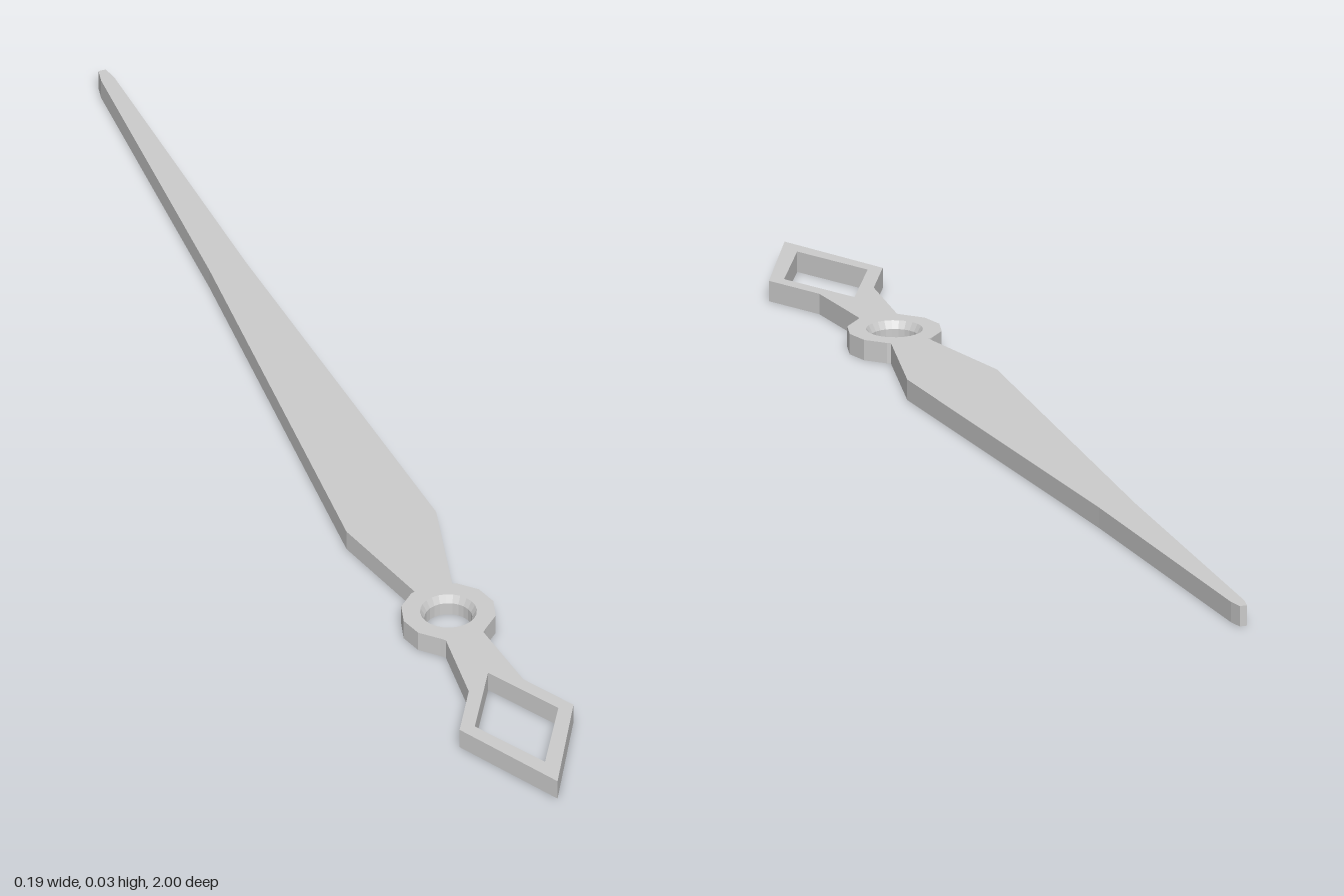
import * as THREE from 'three';

const HEIGHT = 0.033;
const HUB_Z = 0.521;
const HUB_R = 0.074;
const BORE_R = 0.044;

// Point on a circle round the hub, angle measured from the blade direction
const hubPoint = (r, degrees) => {
  const a = THREE.MathUtils.degToRad(degrees);
  return [r * Math.sin(a), HUB_Z - r * Math.cos(a)];
};

const toVectors = (points) => points.map(([x, z]) => new THREE.Vector2(x, z));

export function createModel() {
  const group = new THREE.Group();
  group.name = 'clockHand';
  const material = new THREE.MeshStandardMaterial({ color: 0xcccccc, flatShading: true });

  // Half outline: blade, twelve-sided hub, neck, diamond tail
  const half = [
    [0.006, -1], [0.011, -0.975], [0.03, -0.45], [0.074, 0.27],
    [0.031, 0.455],
    ...[30, 60, 90, 120, 150].map((d) => hubPoint(HUB_R, d)),
    [0.031, 0.592], [0.045, 0.73], [0.094, 0.82],
  ];
  const mirrored = half.map(([x, z]) => [-x, z]).reverse();
  const outline = new THREE.Shape(toVectors([...half, [0, 1], ...mirrored]));

  // Openings: round bore and diamond window
  const bore = Array.from({ length: 24 }, (_, i) => hubPoint(BORE_R, i * 15));
  const diamond = [[0, 0.695], [0.069, 0.82], [0, 0.945], [-0.069, 0.82]];
  outline.holes.push(new THREE.Path(toVectors(bore)), new THREE.Path(toVectors(diamond)));

  const bodyGeometry = new THREE.ExtrudeGeometry(outline, { depth: HEIGHT, bevelEnabled: false });
  bodyGeometry.rotateX(Math.PI / 2).translate(0, HEIGHT, 0);
  const body = new THREE.Mesh(bodyGeometry, material);
  body.name = 'handBody';
  group.add(body);

  // Countersunk lining of the bore
  const lining = new THREE.LatheGeometry(toVectors([
    [BORE_R, HEIGHT], [0.037, 0.021], [0.037, 0], [BORE_R, 0],
  ]), 24);
  const rim = new THREE.Mesh(lining, material);
  rim.name = 'boreLining';
  rim.position.z = HUB_Z;
  group.add(rim);

  return group;
}
